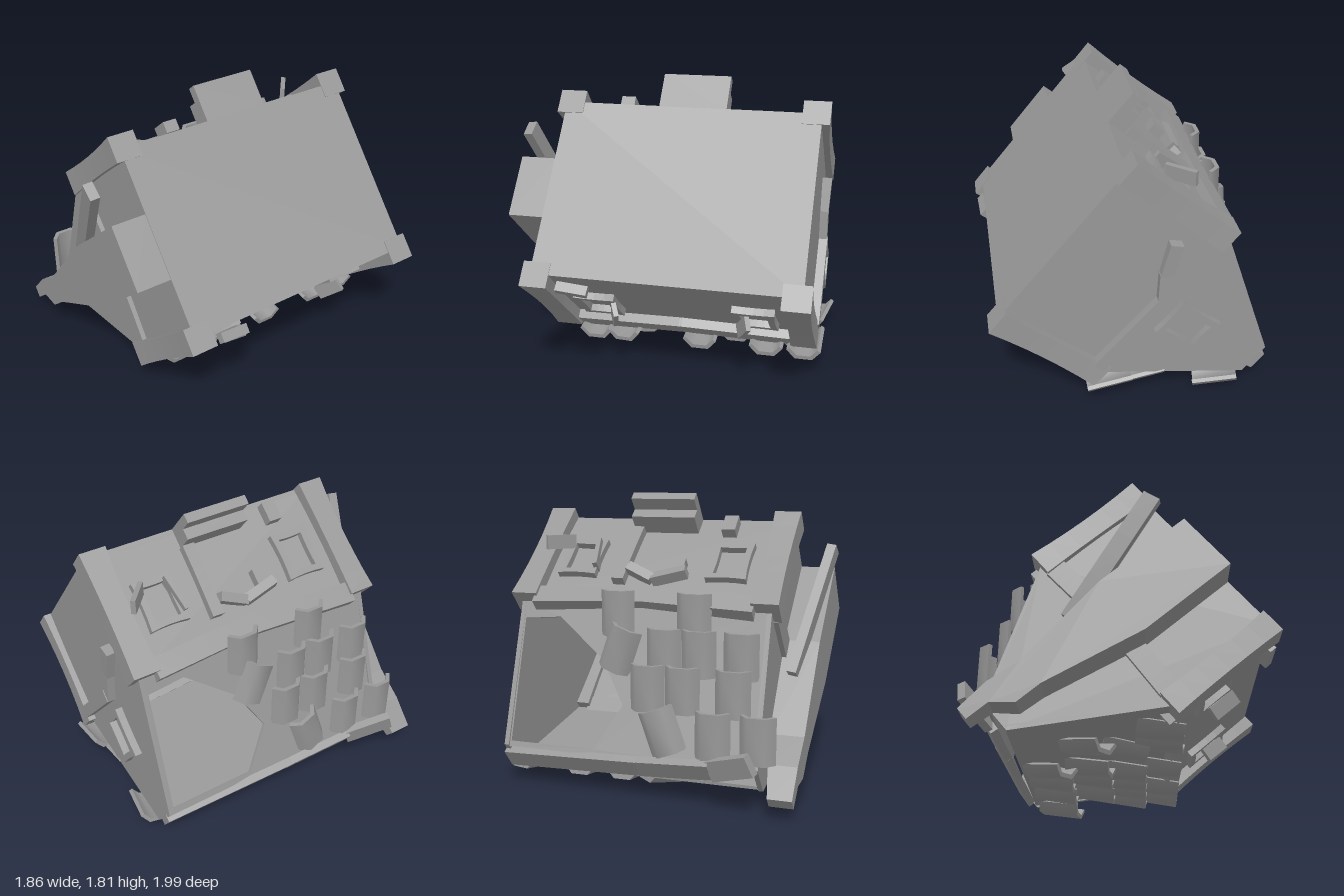
import * as THREE from 'three';
import { toCreasedNormals } from 'three/addons/utils/BufferGeometryUtils.js';

const color = 0x989898;
const mat = new THREE.MeshStandardMaterial({ color, flatShading: true, side: THREE.DoubleSide });
const tileMat = new THREE.MeshStandardMaterial({ color, side: THREE.DoubleSide });
const V = (x, y, z) => new THREE.Vector3(x, y, z);

function add(parent, name, geo, x = 0, y = 0, z = 0, material = mat) {
  const m = new THREE.Mesh(geo, material);
  m.name = name;
  m.position.set(x, y, z);
  parent.add(m);
  return m;
}

const box = (w, h, d) => new THREE.BoxGeometry(w, h, d);

// Timber standing along y, thinner in the middle than at its ends
function waisted(w, h, d, waist) {
  const g = new THREE.BoxGeometry(w, h, d, 1, 6, 1);
  const p = g.attributes.position;
  for (let i = 0; i < p.count; i++) {
    const t = (2 * p.getY(i)) / h;
    const s = 1 - waist * (1 - t * t);
    p.setX(i, p.getX(i) * s);
    p.setZ(i, p.getZ(i) * s);
  }
  return g;
}

// Timber running from a to b
function bar(parent, name, a, b, w, d, waist = 0) {
  const dir = b.clone().sub(a);
  const m = add(parent, name, waisted(w, dir.length(), d, waist));
  m.position.copy(a).add(b).multiplyScalar(0.5);
  m.quaternion.setFromUnitVectors(V(0, 1, 0), dir.normalize());
}

const outline = pts => new THREE.Shape(pts.map(p => new THREE.Vector2(p[0], p[1])));
const extrude = (shape, depth) =>
  new THREE.ExtrudeGeometry(shape, { depth, bevelEnabled: false, curveSegments: 4 });

// Rectangle whose four sides bow inwards
function bowed(Type, w, h, k) {
  const s = new Type();
  s.moveTo(-w, -h);
  s.quadraticCurveTo(0, -h + k, w, -h);
  s.quadraticCurveTo(w - k, 0, w, h);
  s.quadraticCurveTo(0, h - k, -w, h);
  s.quadraticCurveTo(-w + k, 0, -w, -h);
  return s;
}

function windowFrame(parent, x, y, z, turn) {
  const s = bowed(THREE.Shape, 0.13, 0.155, 0.018);
  s.holes.push(bowed(THREE.Path, 0.085, 0.112, 0.008));
  add(parent, 'windowFrame', extrude(s, 0.045), x, y, z).rotation.y = turn;
}

// Arched tile, its length along local y and its crown along local z
function tileGeometry() {
  const s = outline([
    [-0.108, 0], [-0.055, 0.062], [0.055, 0.062], [0.108, 0],
    [0.088, -0.014], [0.043, 0.036], [-0.043, 0.036], [-0.088, -0.014],
  ]);
  return toCreasedNormals(extrude(s, 0.28).translate(0, 0, -0.14).rotateX(Math.PI / 2), 0.95);
}

// One roof slope: local x runs along the ridge, y up the slope, z outwards
function roofSlope(house, side, hole, tiles) {
  const g = new THREE.Group();
  g.name = side > 0 ? 'frontRoof' : 'rearRoof';
  const up = V(-side * 0.5, 0.79, 0).normalize();
  const out = V(side * 0.79, 0.5, 0).normalize();
  g.quaternion.setFromRotationMatrix(
    new THREE.Matrix4().makeBasis(up.clone().cross(out), up, out));
  g.position.set(side * 0.595, 0.77, 0);
  const shape = outline([[-0.9, 0], [0.73, 0], [0.73, 0.935], [-0.9, 0.935]].map(p => [-side * p[0], p[1]]));
  if (hole) shape.holes.push(new THREE.Path(hole.map(p => new THREE.Vector2(-side * p[0], p[1]))));
  add(g, 'roofBoards', extrude(shape, 0.02), 0, 0, -0.02);
  const geo = tileGeometry();
  const rows = [0.06, 0.28, 0.5, 0.75];
  tiles.forEach(([z, row, turn = 0]) => {
    // The lower end of each tile kicks away from the roof
    const t = add(g, 'roofTile', geo, -side * z, rows[row], 0.035, tileMat);
    t.rotation.set(-0.3, 0, -side * turn, 'ZXY');
  });
  house.add(g);
}

export function createModel() {
  const root = new THREE.Group();
  root.name = 'toppledHouse';
  const house = new THREE.Group();
  house.name = 'house';
  house.rotation.z = THREE.MathUtils.degToRad(130);
  house.position.set(0.5, 1.168, 0);
  root.add(house);

  // Hollow shell
  const midZ = -0.085, len = 1.63;
  add(house, 'floor', box(1.17, 0.03, len), 0, 0.01, midZ);
  for (const s of [1, -1]) add(house, 'sideWall', box(0.03, 0.77, len), s * 0.57, 0.385, midZ);
  const gable = outline([[-0.585, 0], [0.585, 0], [0.595, 0.77], [0.11, 1.56], [-0.11, 1.56], [-0.595, 0.77]]);
  add(house, 'gableWall', extrude(gable, 0.03), 0, 0, 0.7);
  add(house, 'gableWall', extrude(gable, 0.03), 0, 0, -0.9);

  // Corner posts and eave beams
  for (const s of [1, -1]) {
    for (const z of [0.695, -0.865]) add(house, 'cornerPost', waisted(0.16, 0.79, 0.17, 0.14), s * 0.587, 0.385, z);
    for (const [end, mid] of [[-0.8, -0.07], [0.63, -0.09]]) {
      bar(house, 'eaveBeam', V(s * 0.595, 0.76, end), V(s * 0.595, 0.72, mid), 0.1, 0.13);
    }
  }

  // Gable timbers
  for (const s of [1, -1]) bar(house, 'tieBeam', V(s * 0.52, 0.72, 0.73), V(s * 0.17, 0.7, 0.73), 0.13, 0.06);
  bar(house, 'looseBrace', V(0.41, 0.05, 0.965), V(0.155, 0.89, 0.82), 0.11, 0.06);
  bar(house, 'backTieBeam', V(0.06, 0.73, -0.92), V(-0.54, 0.71, -0.92), 0.08, 0.07);
  bar(house, 'brokenTieBeam', V(0.4, 0.52, -0.93), V(0.2, 0.62, -0.92), 0.08, 0.06);
  bar(house, 'brokenTieBeam', V(0.21, 0.61, -0.92), V(0.04, 0.74, -0.92), 0.08, 0.06);

  // Chimney on the gable end, stepped, leaning and thinner at its top
  const chimneyGeo = extrude(outline([
    [-0.2, 0], [0.2, 0], [0.2, 0.64], [0.1, 1.28], [0.12, 1.5], [0.095, 1.71],
    [0.015, 1.71], [0.015, 1.56], [-0.08, 1.45], [-0.08, 1.28], [-0.2, 0.64],
  ]), 0.22);
  const cp = chimneyGeo.attributes.position;
  for (let i = 0; i < cp.count; i++) {
    if (cp.getY(i) > 1.2 && cp.getZ(i) < 0.1) cp.setZ(i, 0.15 * (cp.getY(i) - 1.2));
  }
  add(house, 'chimney', chimneyGeo, -0.018, 0, 0.73);

  // Windows
  for (const z of [-0.59, 0.4]) {
    windowFrame(house, 0.585, 0.4, z, Math.PI / 2);
    windowFrame(house, -0.585, 0.42, z, -Math.PI / 2);
  }
  windowFrame(house, -0.02, 0.99, -0.9, Math.PI);

  // Shutters hanging open and loose boards
  bar(house, 'shutter', V(0.747, 0.405, -0.81), V(0.65, 0.29, -0.68), 0.03, 0.09);
  bar(house, 'shutter', V(0.63, 0.5, -0.47), V(0.63, 0.27, -0.51), 0.08, 0.03);
  bar(house, 'shutter', V(-0.68, 0.5, 0.31), V(-0.67, 0.3, 0.26), 0.09, 0.03);
  bar(house, 'shutter', V(-0.68, 0.49, -0.49), V(-0.67, 0.32, -0.56), 0.09, 0.03);
  add(house, 'looseBoard', box(0.07, 0.13, 0.09), 0.63, 0.1, 0.34);
  bar(house, 'looseBoard', V(-0.64, 0.03, 0.56), V(-0.65, 0.05, 0.37), 0.06, 0.05);

  // Door frame and steps
  const doorX = 0.61;
  add(house, 'doorStep', box(0.235, 0.06, 0.43), 0.7, 0.025, -0.095);
  add(house, 'doorStep', box(0.14, 0.07, 0.43), 0.655, 0.09, -0.095);
  bar(house, 'doorPost', V(doorX, 0.13, -0.28), V(doorX, 0.6, -0.29), 0.07, 0.08, 0.1);
  bar(house, 'doorLintel', V(doorX + 0.03, 0.5, -0.24), V(doorX, 0.57, -0.07), 0.07, 0.06);
  bar(house, 'doorLintel', V(doorX, 0.57, -0.07), V(doorX + 0.03, 0.52, 0.15), 0.07, 0.06);
  add(house, 'doorPostStump', box(0.07, 0.1, 0.08), doorX, 0.46, 0.08);

  // Roof slopes; tiles are [z, row, turn]
  const hole = [[-0.86, 0.12], [-0.62, 0.1], [-0.3, 0.35], [-0.14, 0.62], [-0.3, 0.9], [-0.86, 0.9]];
  roofSlope(house, 1, hole, [
    [-0.22, 0], [0.27, 0],
    [-0.18, 1, 0.35], [0.1, 1], [0.32, 1], [0.58, 1],
    [0.02, 2], [0.24, 2], [0.55, 2],
    [0.14, 3, -0.35], [0.45, 3], [0.72, 3],
  ]);
  roofSlope(house, -1, null, [
    [0.5, 0], [0.3, 0, 0.1], [-0.2, 0], [-0.63, 0], [-0.87, 0],
    [0.24, 1, -0.2], [-0.18, 1], [-0.4, 1], [-0.58, 1], [-0.8, 1],
    [0.41, 2, 0.6], [0, 2, 0.2], [-0.22, 2], [-0.56, 2],
    [0.05, 3, 0.6], [-0.18, 3], [-0.47, 3], [-0.86, 3, 0.2],
  ]);

  // Ridge board, bent and sprung loose at one end
  const ridge = [V(0, 1.57, -0.9), V(0.06, 1.58, 0), V(0.1, 1.58, 0.45), V(0.25, 1.61, 0.72)];
  for (let i = 0; i < 3; i++) bar(house, 'ridgeBoard', ridge[i], ridge[i + 1], 0.13, 0.05);

  return root;
}
